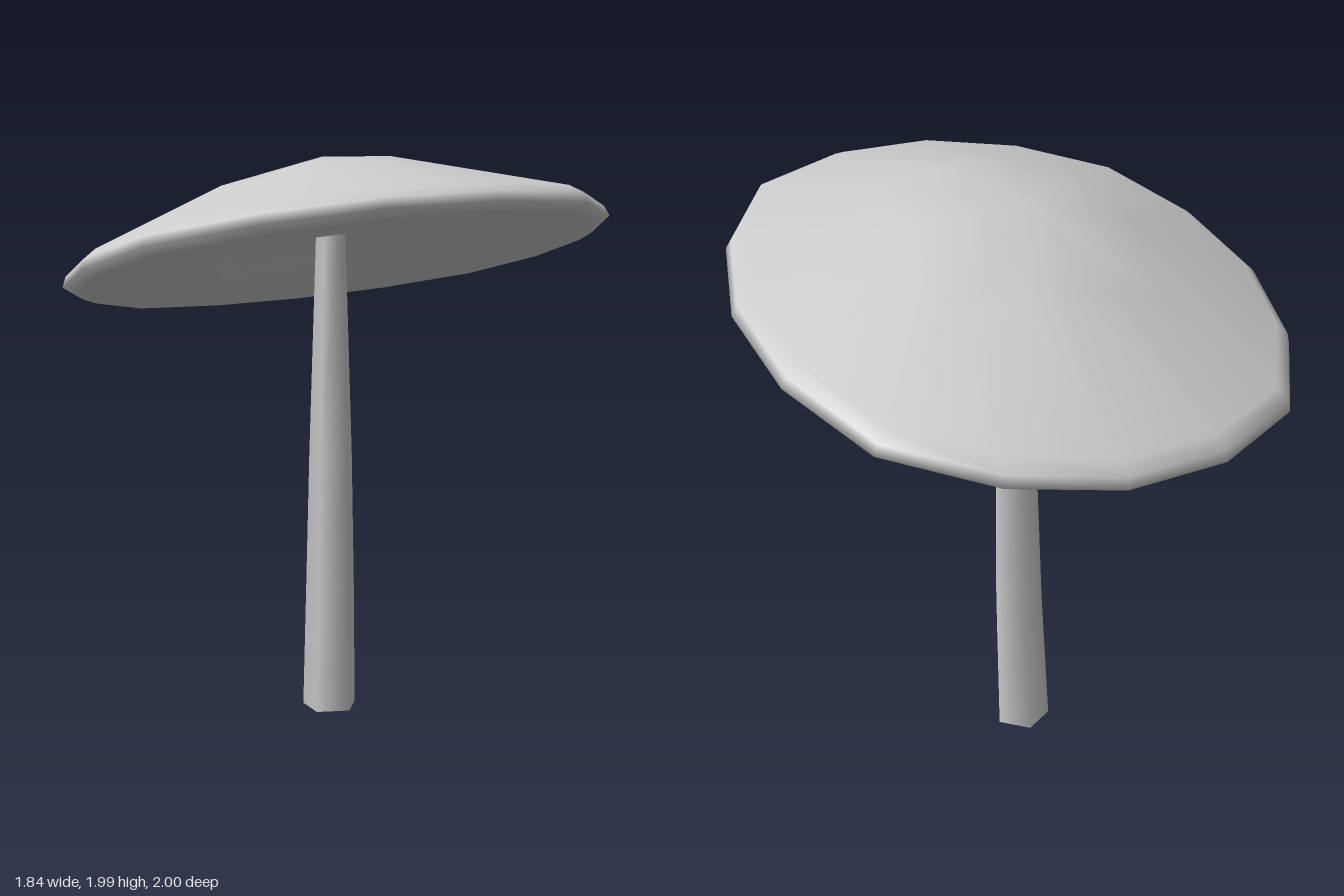
import * as THREE from 'three';
import { mergeVertices } from 'three/addons/utils/BufferGeometryUtils.js';

const solid = new THREE.MeshStandardMaterial({ color: 0xcccccc });
const open = new THREE.MeshStandardMaterial({ color: 0xcccccc, side: THREE.DoubleSide });

// Sixteen-sided cap: hollow underside, rounded rim, squarish crown; oval and tilted
function makeCap() {
  const rings = [ // radius, height, squareness, drop at the corners
    [0, 0.17, 0, 0], [0.4, 0.06, 0.75, 0.1], [0.65, -0.008, 0.3, 0], [0.95, -0.022, 0.09, 0], // underside
    [1.0, 0, 0.09, 0], [0.985, 0.035, 0.09, 0], [0.94, 0.065, 0.09, 0],                      // rim
    [0.41, 0.272, 0.75, 0.14], [0, 0.357, 0, 0],                                             // crown
  ];
  const profile = rings.map(([r, h]) => new THREE.Vector2(r, h));
  let geo = new THREE.LatheGeometry(profile, 16);
  const pos = geo.attributes.position;
  for (let i = 0; i < pos.count; i++) {
    const [, h, square, drop] = rings[i % rings.length];
    const angle = Math.floor(i / rings.length) * Math.PI / 8;
    const bulge = 1 / Math.max(Math.abs(Math.cos(angle)), Math.abs(Math.sin(angle))) - 1;
    const k = 1 + square * bulge;
    pos.setXYZ(i, pos.getX(i) * k, h - drop * bulge, pos.getZ(i) * k);
  }
  geo.rotateY(0.12).scale(0.932, 1, 1.022);
  geo.deleteAttribute('normal');
  geo.deleteAttribute('uv');
  geo = mergeVertices(geo, 1e-4);
  geo.computeVertexNormals();

  const cap = new THREE.Mesh(geo, solid);
  cap.name = 'cap';
  const up = new THREE.Vector3(0, 1, 0);
  const normal = new THREE.Vector3(-0.12, 1, -0.17).normalize();
  cap.quaternion.setFromUnitVectors(up, normal);
  cap.position.y = 1.64;
  return cap;
}

// Tapered five-sided stem, open at the ends, leaning forward then straightening
function makeStem() {
  const stations = [ // y, z, radius
    [0, -0.14, 0.101], [0.48, -0.064, 0.091], [0.95, -0.031, 0.08], [1.82, -0.036, 0.051],
  ];
  const geo = new THREE.CylinderGeometry(1, 1, 3, 5, 3, true, 0.716);
  const pos = geo.attributes.position;
  for (let i = 0; i < pos.count; i++) {
    const [y, z, r] = stations[Math.round(pos.getY(i) + 1.5)];
    pos.setXYZ(i, pos.getX(i) * r - 0.01, y, pos.getZ(i) * r + z);
  }
  const stem = new THREE.Mesh(geo, open);
  stem.name = 'stem';
  return stem;
}

export function createModel() {
  const mushroom = new THREE.Group();
  mushroom.name = 'mushroom';
  mushroom.add(makeCap(), makeStem());
  return mushroom;
}
